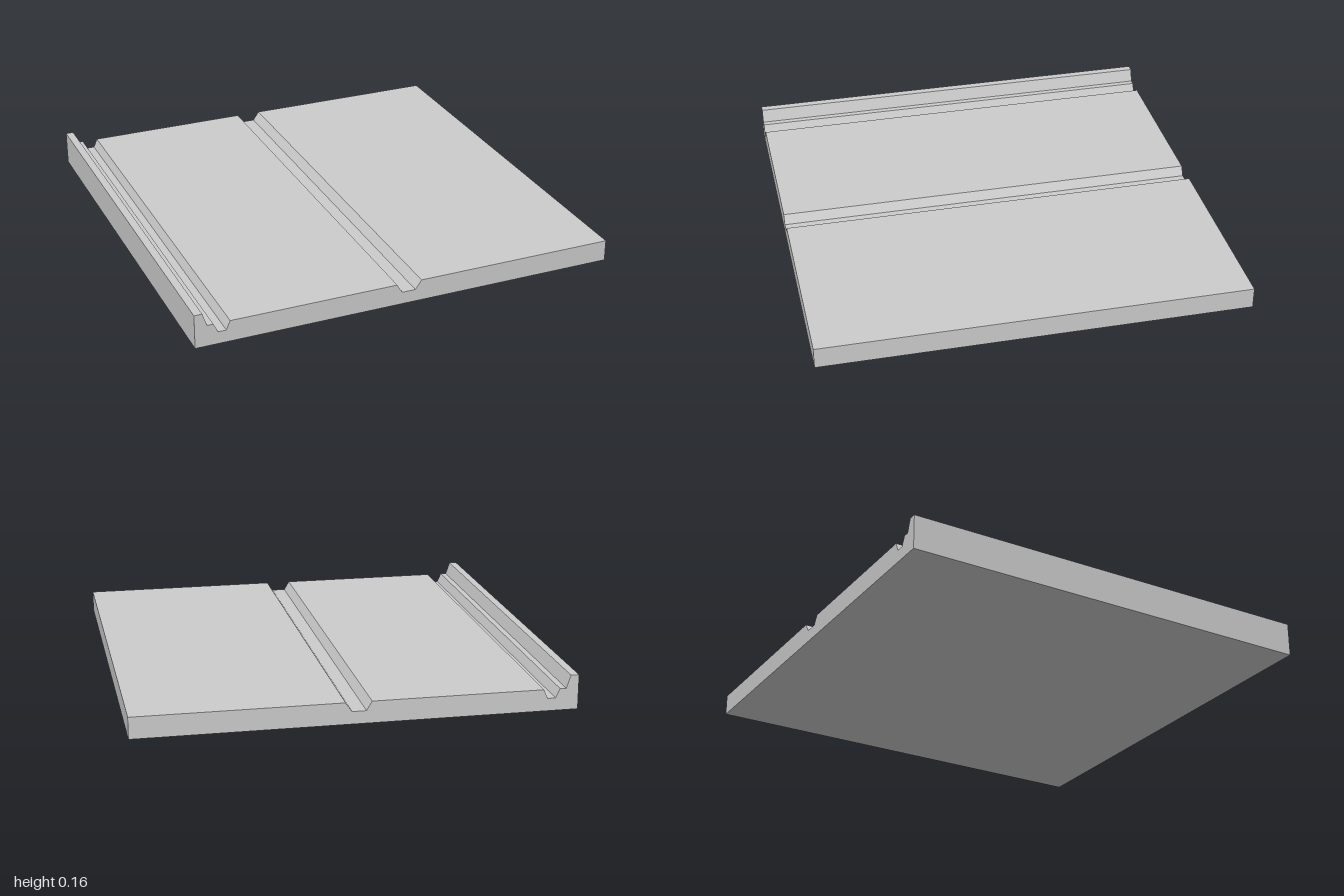
import * as THREE from 'three';

export function createModel() {
  const group = new THREE.Group();
  group.name = 'groovedSlab';
  const depth = 2;

  // Cross-section seen from the front, counter-clockwise
  const profile = [
    [-1, 0], [1, 0], [1, 0.1],
    // centre groove
    [0.058, 0.1], [0.029, 0.058], [-0.035, 0.058], [-0.06, 0.1],
    // edge groove
    [-0.84, 0.1], [-0.858, 0.058], [-0.895, 0.058], [-0.915, 0.1],
    // raised lip
    [-0.943, 0.1], [-0.963, 0.16], [-1, 0.16],
  ].map(([x, y]) => new THREE.Vector2(x, y));

  // Slab, extruded front to back
  const geometry = new THREE.ExtrudeGeometry(new THREE.Shape(profile), {
    depth, steps: 1, bevelEnabled: false,
  });
  geometry.translate(0, 0, -depth / 2);

  const material = new THREE.MeshStandardMaterial({ color: 0xcccccc, flatShading: true });
  const slab = new THREE.Mesh(geometry, material);
  slab.name = 'slab';
  group.add(slab);
  return group;
}
